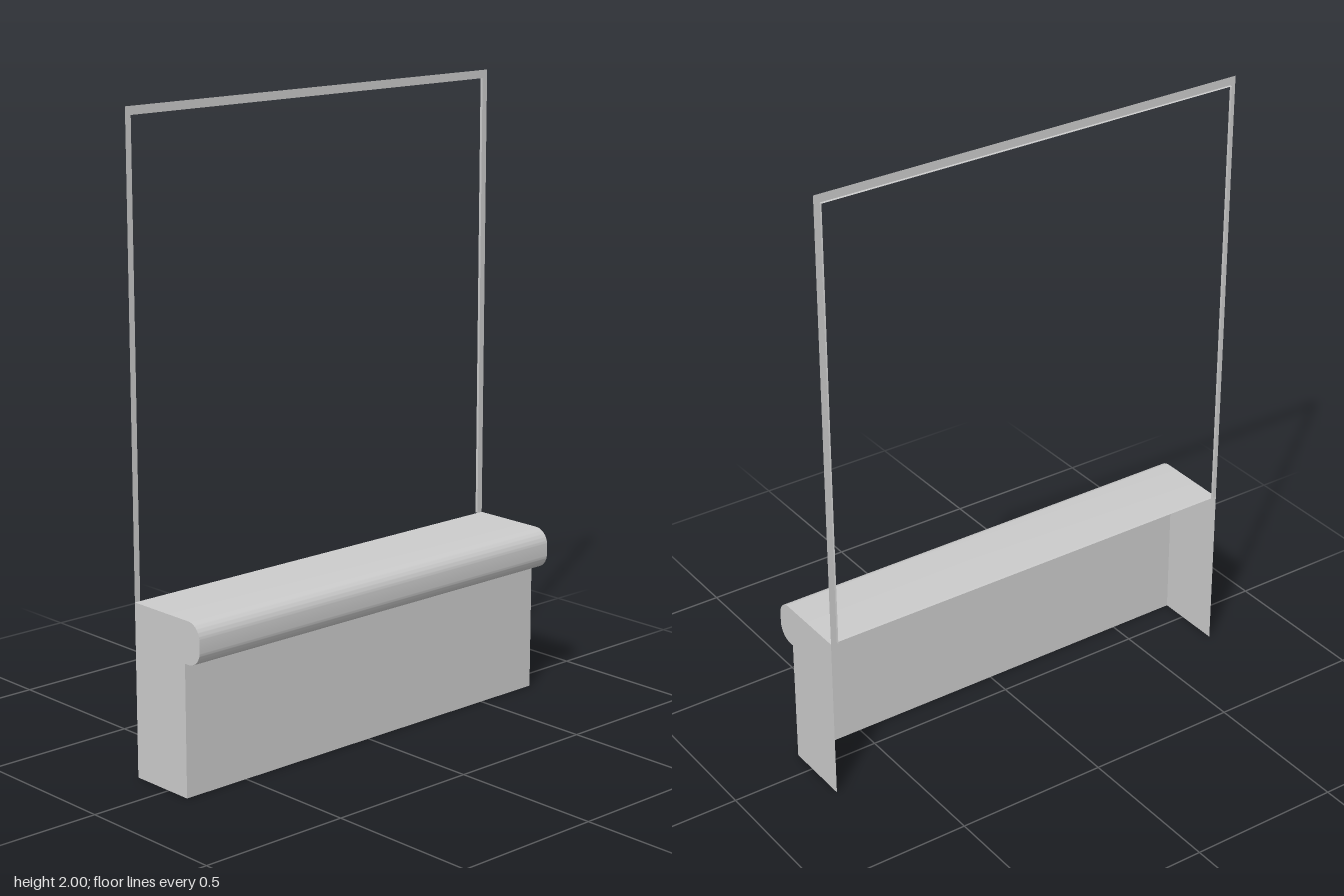
import * as THREE from 'three';
import { toCreasedNormals } from 'three/addons/utils/BufferGeometryUtils.js';

const HALF = 0.727;               // half length along z
const BACK = -0.143, WALL = 0.085, NOSE = 0.152;
const SILL = 0.546, LIP = 0.414, TOP = 2;
const R = 0.05;                   // rounding of the sill nose
const material = new THREE.MeshStandardMaterial({ color: 0xcccccc, side: THREE.DoubleSide });

// Open sheet joining a path to the same path moved by an offset
function sweep(points, offset) {
  const position = [], index = [];
  points.forEach((p, i) => {
    position.push(p.x, p.y, p.z, p.x + offset.x, p.y + offset.y, p.z + offset.z);
    if (i) {
      const a = 2 * i - 2;
      index.push(a, a + 2, a + 1, a + 1, a + 2, a + 3);
    }
  });
  const geometry = new THREE.BufferGeometry();
  geometry.setAttribute('position', new THREE.Float32BufferAttribute(position, 3));
  geometry.setIndex(index);
  return toCreasedNormals(geometry, Math.PI / 5);
}

export function createModel() {
  const model = new THREE.Group();
  model.name = 'windowWithSill';
  const add = (name, geometry, parent = model) => {
    const mesh = new THREE.Mesh(geometry, material);
    mesh.name = name;
    parent.add(mesh);
    return mesh;
  };

  // Cross-section: sill top, rounded nose, underside of the lip, wall
  const profile = new THREE.Shape();
  profile.moveTo(BACK, SILL);
  profile.lineTo(NOSE - R, SILL);
  profile.absarc(NOSE - R, SILL - R, R, Math.PI / 2, 0, true);
  profile.lineTo(NOSE, LIP + R);
  profile.absarc(NOSE - R, LIP + R, R, 0, -Math.PI / 2, true);
  profile.lineTo(WALL, LIP);
  profile.lineTo(WALL, 0);
  profile.lineTo(BACK, 0);

  // Sill and wall in one sheet, open at the back and below
  const path = profile.getPoints(10).slice(0, -1).map(p => new THREE.Vector3(p.x, p.y, -HALF));
  add('sillAndWall', sweep(path, new THREE.Vector3(0, 0, 2 * HALF)));

  // End panels
  for (const [name, side] of [['leftEndPanel', -1], ['rightEndPanel', 1]]) {
    add(name, new THREE.ShapeGeometry(profile, 10)).position.z = side * HALF;
  }

  // Flat frame standing on the back edge of the sill
  const frame = new THREE.Group();
  frame.name = 'windowFrame';
  model.add(frame);
  const inner = 0.707, innerTop = 1.974;
  const face = new THREE.Shape([
    [-HALF, SILL], [-HALF, TOP], [HALF, TOP], [HALF, SILL],
    [inner, SILL], [inner, innerTop], [-inner, innerTop], [-inner, SILL],
  ].map(([z, y]) => new THREE.Vector2(z, y)));
  add('frameFace', new THREE.ShapeGeometry(face).rotateY(-Math.PI / 2), frame).position.x = BACK;

  // Shallow return around the opening
  const opening = [[-inner, SILL], [-inner, innerTop], [inner, innerTop], [inner, SILL]]
    .map(([z, y]) => new THREE.Vector3(BACK, y, z));
  add('frameReturn', sweep(opening, new THREE.Vector3(-0.009, 0, 0)), frame);

  return model;
}
